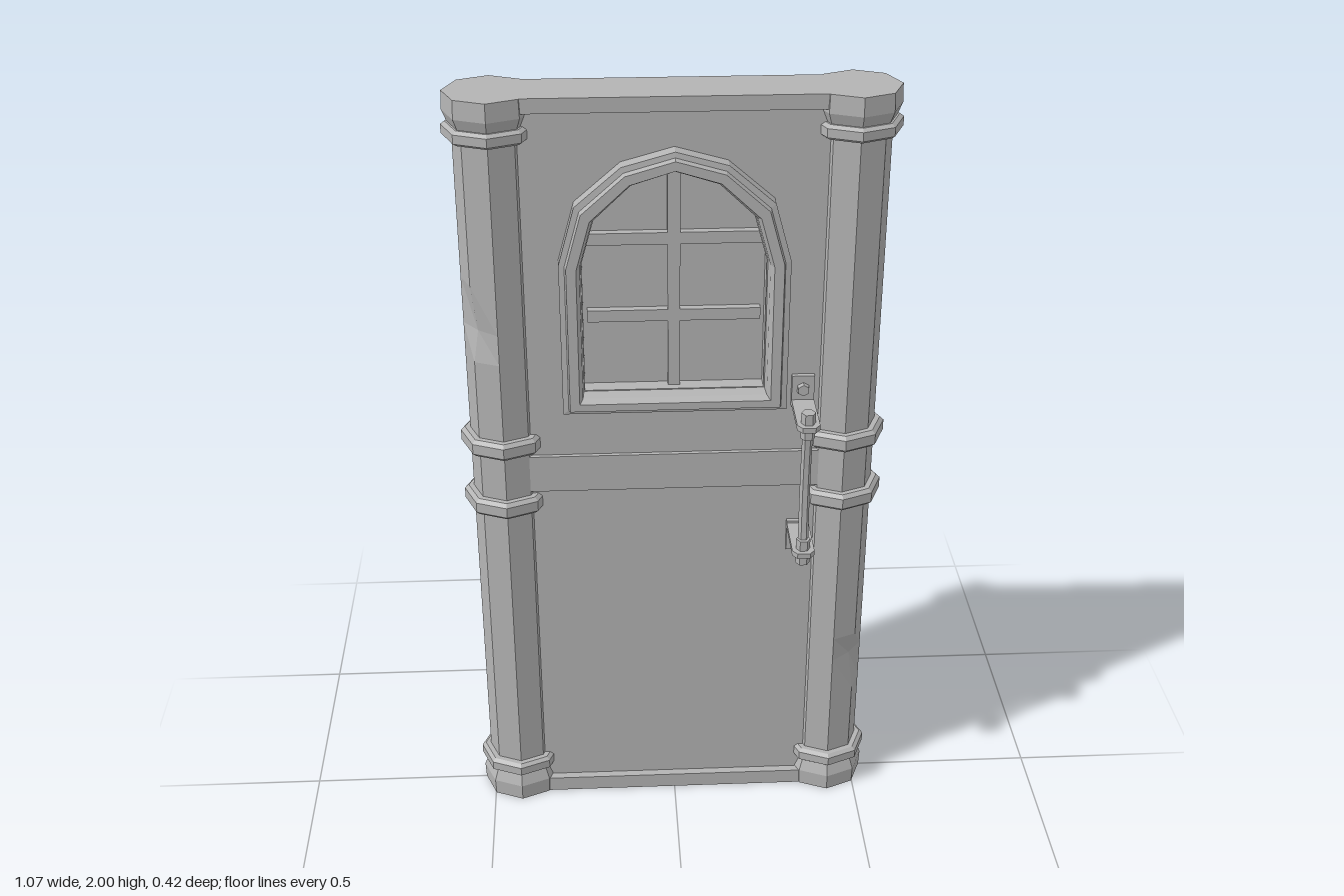
import * as THREE from 'three';

const metal = new THREE.MeshStandardMaterial({ color: 0xb4b4b4, flatShading: true });
metal.name = 'grey metal';

function add(parent, name, geometry, x = 0, y = 0, z = 0) {
  const mesh = new THREE.Mesh(geometry, metal);
  mesh.name = name;
  mesh.position.set(x, y, z);
  parent.add(mesh);
  return mesh;
}
const box = (w, h, d) => new THREE.BoxGeometry(w, h, d);
const lathe = (points, sides = 8) =>
  new THREE.LatheGeometry(points.map(([r, y]) => new THREE.Vector2(r, y)), sides);

// Closed arch outline from the points of its right half, bottom to top
function arch(half) {
  const left = half.slice(0, -1).reverse().map(([x, y]) => [-x, y]);
  return [...half, ...left].map(([x, y]) => new THREE.Vector2(x, y));
}
const outerArch = arch([[0.275, 1.205], [0.275, 1.6], [0.235, 1.745], [0.125, 1.84], [0, 1.875]]);
const innerArch = arch([[0.22, 1.25], [0.22, 1.59], [0.188, 1.705], [0.1, 1.79], [0, 1.822]]);

// Stepped frame: blend between both outlines, t across the frame and z outward
function frameGeometry() {
  const section = [[0, 0.04], [0, 0.088], [0.25, 0.09], [0.32, 0.105], [0.75, 0.105], [0.9, 0.085], [1, 0.01]];
  const n = outerArch.length, positions = [], index = [];
  section.forEach(([t, z], k) => {
    for (let i = 0; i < n; i++) {
      const p = outerArch[i].clone().lerp(innerArch[i], t);
      positions.push(p.x, p.y, z);
      if (k === section.length - 1) continue;
      const a = k * n + i, b = k * n + (i + 1) % n;
      index.push(a, b, b + n, a, b + n, a + n);
    }
  });
  const g = new THREE.BufferGeometry();
  g.setAttribute('position', new THREE.Float32BufferAttribute(positions, 3));
  g.setIndex(index);
  g.computeVertexNormals();
  return g;
}

// Octagonal shaft with chips: each chip pushes one corner of a row inward
function shaftGeometry(chips) {
  const rows = [0.08, 1.92];
  chips.forEach(c => rows.push(c.low, c.y, c.high));
  rows.sort((a, b) => a - b);
  const g = lathe(rows.map(y => [0.086, y]));
  const p = g.attributes.position;
  for (let i = 0; i < p.count; i++) {
    for (const c of chips) {
      const ax = Math.sin(c.corner * Math.PI / 4), az = Math.cos(c.corner * Math.PI / 4);
      if (Math.abs(p.getY(i) - c.y) < 1e-4 && p.getX(i) * ax + p.getZ(i) * az > 0.084) {
        p.setX(i, p.getX(i) * 0.8);
        p.setZ(i, p.getZ(i) * 0.8);
      }
    }
  }
  return g;
}

function column(name, x, chips) {
  const g = new THREE.Group();
  g.name = name;
  g.position.x = x;
  add(g, 'shaft', shaftGeometry(chips));
  const foot = [[0, 0], [0.104, 0], [0.106, 0.045], [0.09, 0.085], [0, 0.085]];
  add(g, 'foot', lathe(foot));
  add(g, 'capital', lathe(foot.map(([r, y]) => [r, 2 - y]).reverse()));
  for (const [y, h] of [[0.1, 0.02], [0.937, 0.023], [1.107, 0.023], [1.91, 0.018]]) {
    add(g, 'ring', lathe([[0.08, -h], [0.1, -h], [0.11, -h * 0.6], [0.11, h * 0.6], [0.1, h], [0.08, h]]), 0, y);
  }
  return g;
}

// Pull handle with two angled brackets, facing +z
function handle(name) {
  const g = new THREE.Group();
  g.name = name;
  const arm = new THREE.Shape();
  arm.moveTo(-0.028, 0.04);
  [[0.028, 0.04], [0.028, 0.195], [0.016, 0.211], [-0.016, 0.211], [-0.028, 0.195]]
    .forEach(([x, z]) => arm.lineTo(x, z));
  for (const [y, dir] of [[1.21, 1], [0.85, -1]]) {
    const bracket = new THREE.ExtrudeGeometry(arm, { depth: 0.014, bevelEnabled: false });
    bracket.rotateX(Math.PI / 2);
    add(g, 'bracketArm', bracket, 0, y + 0.007);
    add(g, 'bracketPlate', box(0.056, 0.085, 0.014), 0, y + dir * 0.03, 0.056);
    const bolt = new THREE.CylinderGeometry(0.015, 0.017, 0.014, 6);
    bolt.rotateX(Math.PI / 2);
    add(g, 'bolt', bolt, 0, y + dir * 0.038, 0.069);
    add(g, 'barEnd', new THREE.CylinderGeometry(0.018, 0.018, 0.07, 6).rotateY(Math.PI / 6), 0, y, 0.183);
  }
  const curve = new THREE.CatmullRomCurve3(
    [[0.84, 0.183], [0.94, 0.174], [1.03, 0.171], [1.12, 0.174], [1.22, 0.183]]
      .map(([y, z]) => new THREE.Vector3(0, y, z)));
  add(g, 'bar', new THREE.TubeGeometry(curve, 6, 0.013, 6));
  return g;
}

export function createModel() {
  const door = new THREE.Group();
  door.name = 'door';

  // Panel with an arched opening
  const panel = new THREE.Shape([[-0.4, 0.02], [0.4, 0.02], [0.4, 1.98], [-0.4, 1.98]]
    .map(([x, y]) => new THREE.Vector2(x, y)));
  panel.holes.push(new THREE.Path(innerArch));
  add(door, 'panel', new THREE.ExtrudeGeometry(panel, { depth: 0.1, bevelEnabled: false }), 0, 0, -0.05);
  add(door, 'middleBand', box(0.78, 0.1, 0.122), 0, 1.02);
  add(door, 'bottomRail', box(0.78, 0.042, 0.142), 0, 0.021);
  add(door, 'topRail', box(0.78, 0.036, 0.142), 0, 1.982);

  // Window
  const pane = new THREE.ExtrudeGeometry(new THREE.Shape(innerArch), { depth: 0.02, bevelEnabled: false });
  add(door, 'windowPane', pane, 0, 0, -0.01);
  add(door, 'verticalWindowBar', box(0.03, 0.565, 0.06), 0, 1.533);
  for (const y of [1.44, 1.64]) add(door, 'crossWindowBar', box(0.42, 0.03, 0.06), 0, y);

  // Columns with chipped corners, counted in eighths of a turn from the front
  door.add(column('rightColumn', -0.425, [
    { y: 0.4, low: 0.36, high: 0.52, corner: 4 },
    { y: 1.42, low: 1.34, high: 1.54, corner: 7 }]));
  door.add(column('leftColumn', 0.425, [
    { y: 0.43, low: 0.32, high: 0.5, corner: 1 },
    { y: 1.66, low: 1.62, high: 1.69, corner: 3 }]));

  // Frame and handle on both faces
  for (const [side, turn] of [['front', 0], ['back', Math.PI]]) {
    add(door, side + 'WindowFrame', frameGeometry()).rotation.y = turn;
    const pull = handle(side + 'Handle');
    pull.position.x = 0.318;
    pull.rotation.y = turn;
    door.add(pull);
  }
  return door;
}
